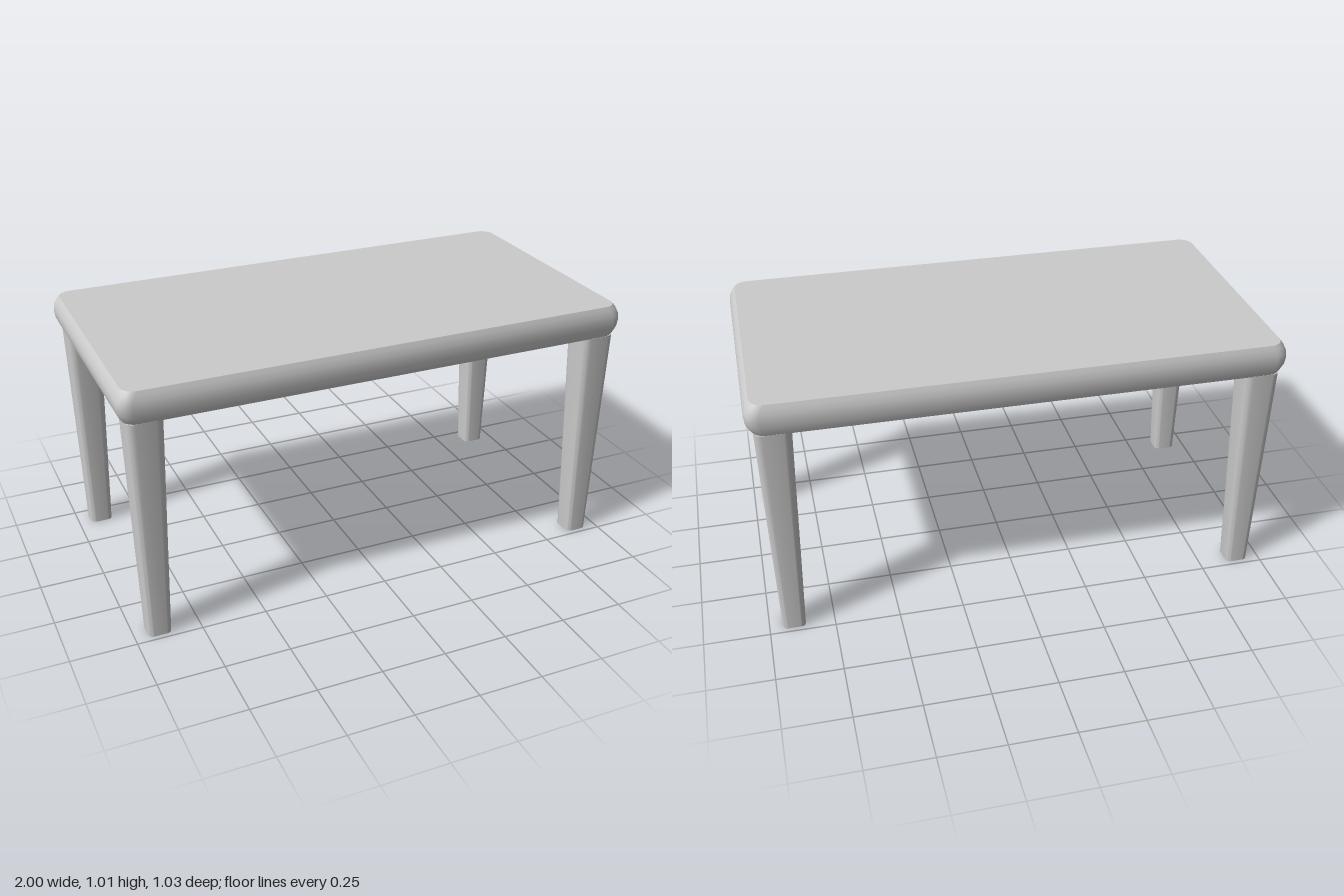
import * as THREE from 'three';
import { toCreasedNormals } from 'three/addons/utils/BufferGeometryUtils.js';

const CORNER_STEPS = 5;

// Rounded rectangle in the xz plane, running from +x towards +z
function ring({ y, hx, hz, r }) {
  const points = [];
  const corners = [[1, 1], [-1, 1], [-1, -1], [1, -1]];
  corners.forEach(([sx, sz], c) => {
    for (let i = 0; i <= CORNER_STEPS; i++) {
      const a = (c + i / CORNER_STEPS) * Math.PI / 2;
      points.push([sx * (hx - r) + r * Math.cos(a), y, sz * (hz - r) + r * Math.sin(a)]);
    }
  });
  return points;
}

// Closed solid through a stack of rings, listed from the bottom up
function loft(sections) {
  const rings = sections.map(ring);
  const n = rings[0].length;
  const pos = [];
  const tri = (...p) => p.forEach((v) => pos.push(...v));
  for (let k = 0; k < rings.length - 1; k++) {
    for (let i = 0; i < n; i++) {
      const j = (i + 1) % n;
      const lo = rings[k], hi = rings[k + 1];
      tri(lo[i], hi[i], hi[j]);
      tri(lo[i], hi[j], lo[j]);
    }
  }
  const bottom = rings[0], top = rings[rings.length - 1];
  const bottomCentre = [0, sections[0].y, 0];
  const topCentre = [0, sections[sections.length - 1].y, 0];
  for (let i = 0; i < n; i++) {
    const j = (i + 1) % n;
    tri(bottomCentre, bottom[i], bottom[j]);
    tri(topCentre, top[j], top[i]);
  }
  const geometry = new THREE.BufferGeometry();
  geometry.setAttribute('position', new THREE.Float32BufferAttribute(pos, 3));
  return toCreasedNormals(geometry, Math.PI / 4);
}

export function createModel() {
  const table = new THREE.Group();
  table.name = 'table';
  const material = new THREE.MeshStandardMaterial({ color: 0xcccccc });

  // Slab with softly bulging edges: [height, amount of inset]
  const edge = [[0.887, 1.1], [0.9, 0.7], [0.922, 0.2], [0.95, 0], [0.972, 0.12], [0.995, 0.65], [1.01, 1.2]];
  const tableTop = new THREE.Mesh(
    loft(edge.map(([y, t]) => ({ y, hx: 1 - 0.02 * t, hz: 0.515 - 0.011 * t, r: 0.05 }))),
    material
  );
  tableTop.name = 'tableTop';
  table.add(tableTop);

  // Four tapered legs with rounded corners
  const legGeometry = loft([
    { y: 0, hx: 0.044, hz: 0.044, r: 0.02 },
    { y: 0.888, hx: 0.067, hz: 0.067, r: 0.03 },
  ]);
  for (const [end, z] of [['front', 1], ['back', -1]]) {
    for (const [side, x] of [['Left', 1], ['Right', -1]]) {
      const leg = new THREE.Mesh(legGeometry, material);
      leg.name = `${end}${side}Leg`;
      leg.position.set(x * 0.906, 0, z * 0.437);
      table.add(leg);
    }
  }
  return table;
}
